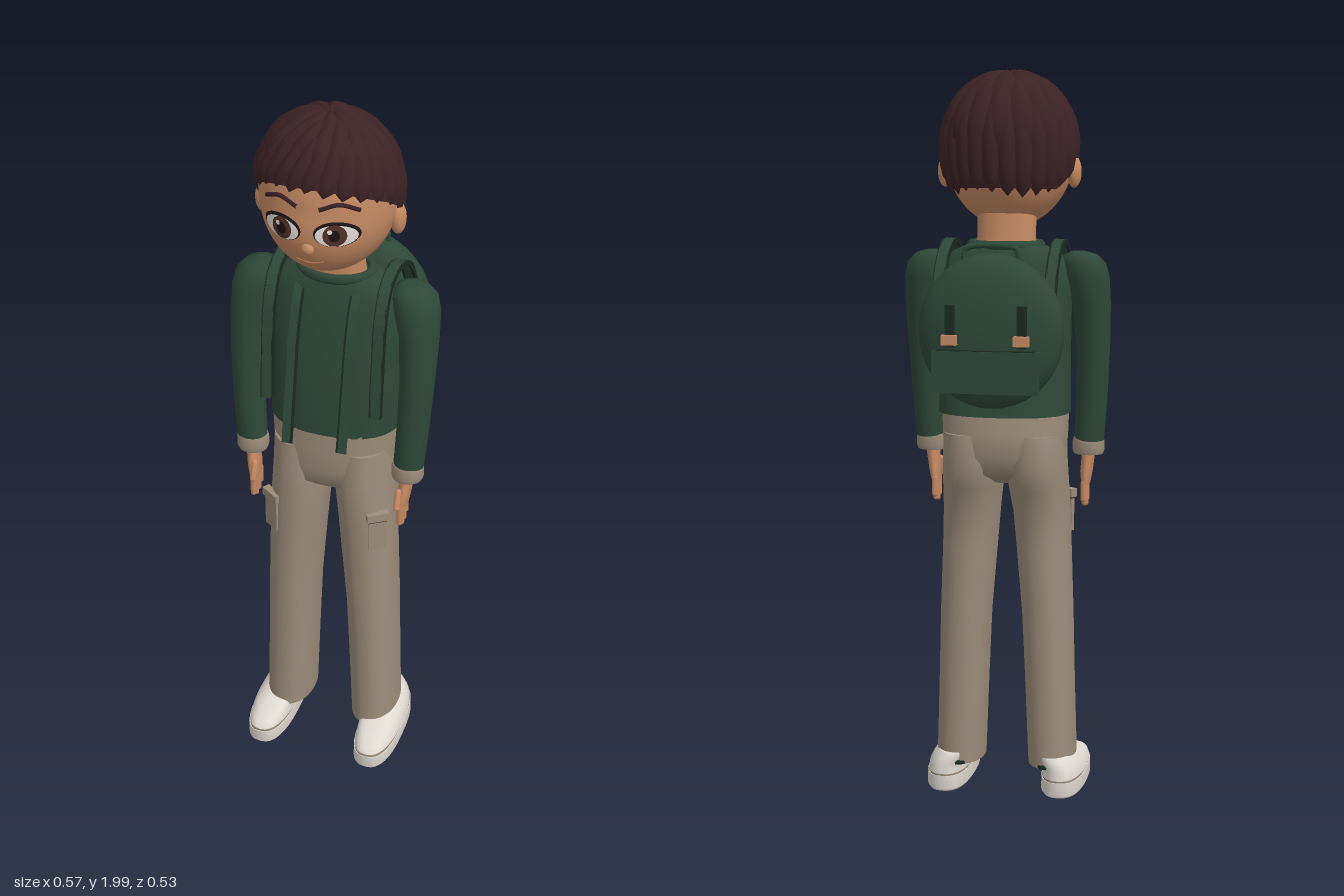
import * as THREE from 'three';

const mat = (name, color, side = THREE.FrontSide) => {
  const m = new THREE.MeshStandardMaterial({ color, side });
  m.name = name;
  return m;
};
const M = {
  skin: mat('skin', 0xc68a63), hair: mat('hair', 0x3b2225, THREE.DoubleSide),
  jacket: mat('jacket green', 0x2f4839), dark: mat('dark green', 0x1c2a22),
  pants: mat('khaki', 0x9b8c7a), shoe: mat('off white', 0xdfd9d2),
  white: mat('eye white', 0xeee8e2), iris: mat('iris brown', 0x54332a),
  black: mat('near black', 0x1d1315), lip: mat('lip', 0xb06f52),
};

function add(parent, name, geo, material, x = 0, y = 0, z = 0) {
  const mesh = new THREE.Mesh(geo, material);
  mesh.name = name;
  mesh.position.set(x, y, z);
  parent.add(mesh);
  return mesh;
}
const box = (w, h, d) => new THREE.BoxGeometry(w, h, d);
const ball = (rx, ry, rz) => new THREE.SphereGeometry(1, 28, 20).scale(rx, ry, rz);

// Capped skin over horizontal rings [y, centreX, centreZ, radiusX, radiusZ], bottom to top
function loft(rings, power = 2, n = 32) {
  const pos = [], idx = [], e = 2 / power;
  const sgnPow = v => Math.sign(v) * Math.abs(v) ** e;
  for (const [y, cx, cz, rx, rz] of rings)
    for (let j = 0; j < n; j++) {
      const a = j / n * Math.PI * 2;
      pos.push(cx + rx * sgnPow(Math.sin(a)), y, cz + rz * sgnPow(Math.cos(a)));
    }
  for (let i = 0; i < rings.length - 1; i++)
    for (let j = 0; j < n; j++) {
      const a = i * n + j, b = i * n + (j + 1) % n;
      idx.push(a, b, b + n, a, b + n, a + n);
    }
  // separate cap rings keep the end edges sharp
  for (const end of [0, rings.length - 1]) {
    const base = pos.length / 3, src = end * n * 3;
    for (let k = 0; k < n * 3; k++) pos.push(pos[src + k]);
    for (let j = 1; j < n - 1; j++)
      end ? idx.push(base, base + j, base + j + 1) : idx.push(base, base + j + 1, base + j);
  }
  const g = new THREE.BufferGeometry();
  g.setAttribute('position', new THREE.Float32BufferAttribute(pos, 3));
  g.setIndex(idx);
  g.computeVertexNormals();
  return g;
}

// Flat band following a [z, y] path, extruded across x
function band(path, width, thick) {
  const curve = new THREE.SplineCurve(path.map(p => new THREE.Vector2(...p)));
  const outer = [], inner = [];
  for (let i = 0; i <= 24; i++) {
    const p = curve.getPoint(i / 24), t = curve.getTangent(i / 24);
    outer.push(p);
    inner.unshift(new THREE.Vector2(p.x + t.y * thick, p.y - t.x * thick));
  }
  return new THREE.ExtrudeGeometry(new THREE.Shape([...outer, ...inner]), { depth: width, bevelEnabled: false })
    .translate(0, 0, -width / 2).rotateY(-Math.PI / 2);
}

// Head surface: ellipsoid with the lower face pushed forward
const H = { y: 1.78, z: 0.09, rx: 0.178, ry: 0.21, rz: 0.16 };
const push = (ny, nz) => 0.045 * Math.max(0, -ny) * Math.max(0, nz);
function faceZ(x, y) {
  const ny = (y - H.y) / H.ry;
  const nz = Math.sqrt(Math.max(0, 1 - (x / H.rx) ** 2 - ny * ny));
  return H.z + H.rz * nz + push(ny, nz);
}
// Thin ellipse laid on the face
function decal(x, y, rx, ry, lift) {
  const g = new THREE.RingGeometry(0.001, 1, 28, 5).scale(rx, ry, 1).translate(x, y, 0);
  const p = g.attributes.position;
  for (let i = 0; i < p.count; i++) p.setZ(i, faceZ(p.getX(i), p.getY(i)) + lift);
  g.computeVertexNormals();
  return g;
}
function faceLine(points, r) {
  const pts = points.map(([x, y]) => new THREE.Vector3(x, y, faceZ(x, y)));
  return new THREE.TubeGeometry(new THREE.CatmullRomCurve3(pts), 16, r, 6);
}

// Hairline height by direction: back, behind the ear, temple, front
const LINE = [[-1, 1.68], [-0.55, 1.675], [-0.2, 1.72], [0.1, 1.765], [0.35, 1.795], [0.85, 1.84], [1, 1.85]];
function hairPoint(a, s, off) {
  const c = Math.cos(a);
  let k = 0;
  while (k < LINE.length - 2 && c > LINE[k + 1][0]) k++;
  const [c0, y0] = LINE[k], [c1, y1] = LINE[k + 1];
  const y = y0 + (y1 - y0) * (c - c0) / (c1 - c0);
  const phi = s * Math.acos((y - 1.79) / 0.203);
  const q = phi > Math.PI / 2 ? Math.abs(Math.sin(phi)) ** 0.4 : Math.sin(phi);
  return [Math.sin(a) * q * (0.184 + off), 1.79 + Math.cos(phi) * (0.198 + off), 0.09 + c * q * (0.163 + off)];
}
function hairPatch(nu, nv, rule) {
  const g = new THREE.PlaneGeometry(2, 1, nu, nv), p = g.attributes.position;
  for (let i = 0; i < p.count; i++) p.setXYZ(i, ...hairPoint(...rule(p.getX(i), 0.5 - p.getY(i))));
  g.computeVertexNormals();
  return g;
}
const lock = (a, s0, s1, width, height, skew) => hairPatch(8, 10, (u, v) => {
  const w = Math.sqrt(Math.max(0, 1 - Math.abs(2 * v - 1) ** 3));
  return [a + u * width * w + skew * (v - 0.5), s0 + (s1 - s0) * v, height * (1 - u * u) * w - 0.003];
});

function buildHead(root) {
  const g = new THREE.Group();
  g.name = 'head';
  root.add(g);
  const skull = new THREE.SphereGeometry(1, 48, 36), p = skull.attributes.position;
  for (let i = 0; i < p.count; i++) {
    const x = p.getX(i), y = p.getY(i), z = p.getZ(i);
    p.setXYZ(i, x * H.rx, H.y + y * H.ry * (y > 0.5 ? 0.95 : 1), H.z + z * H.rz + push(y, z));
  }
  skull.computeVertexNormals();
  add(g, 'face', skull, M.skin);
  add(g, 'neck', loft([[1.49, 0, 0.04, 0.088, 0.062], [1.55, 0, 0.045, 0.08, 0.056], [1.66, 0, 0.055, 0.082, 0.06]]), M.skin);
  add(g, 'nose', ball(0.017, 0.016, 0.012), M.skin, 0, 1.69, faceZ(0, 1.69));
  add(g, 'mouth', faceLine([[-0.036, 1.649], [0, 1.643], [0.036, 1.649]], 0.0035), M.lip);
  for (const s of [-1, 1]) {
    add(g, 'ear', ball(0.02, 0.043, 0.025), M.skin, s * 0.178, 1.722, 0.085);
    add(g, 'eyeOutline', decal(s * 0.07, 1.737, 0.054, 0.034, 0.002), M.black);
    add(g, 'eyeWhite', decal(s * 0.07, 1.734, 0.049, 0.029, 0.004), M.white);
    add(g, 'iris', decal(s * 0.068, 1.736, 0.028, 0.029, 0.006), M.iris);
    add(g, 'pupil', decal(s * 0.068, 1.736, 0.013, 0.016, 0.0075), M.black);
    add(g, 'eyeGlint', decal(s * 0.068 - 0.01, 1.748, 0.006, 0.006, 0.009), M.white);
    add(g, 'eyebrow', faceLine([[s * 0.028, 1.8], [s * 0.075, 1.815], [s * 0.12, 1.797]], 0.006), M.hair);
  }
  // Hair: a cap under overlapping rings of locks
  add(g, 'hairCap', hairPatch(64, 16, (u, v) => [u * Math.PI, v, 0]), M.hair);
  for (const [n, s0, s1, h] of [[26, 0.4, 1.05, 0.013], [17, 0.2, 0.72, 0.014], [9, 0.03, 0.42, 0.012]])
    for (let i = 0; i < n; i++) {
      const a = (i + 0.5) / n * Math.PI * 2, wob = Math.sin(i * 7.3) * 0.03;
      add(g, 'hairLock', lock(a, s0, s1 + wob, Math.PI / n * 1.3, h, -0.35 * Math.max(0, Math.cos(a)) + wob), M.hair);
    }
}

function buildJacket(root) {
  add(root, 'jacketBody', loft([[1.075, 0, 0.022, 0.18, 0.138], [1.2, 0, 0.03, 0.178, 0.128], [1.33, 0, 0.032, 0.18, 0.112],
    [1.42, 0, 0.032, 0.182, 0.098], [1.48, 0, 0.032, 0.175, 0.085], [1.51, 0, 0.033, 0.145, 0.075], [1.53, 0, 0.035, 0.1, 0.066]], 2.4), M.jacket);
  add(root, 'collar', new THREE.TorusGeometry(1, 0.13, 10, 36).rotateX(Math.PI / 2).scale(0.095, 0.11, 0.07), M.jacket, 0, 1.527, 0.038);
  for (const s of [-1, 1]) {
    const zip = [[0.08, 1.525], [0.13, 1.46], [0.165, 1.36], [0.195, 1.22], [0.226, 1.078]];
    add(root, 'frontPlacket', band(zip, 0.022, 0.008), M.jacket, s * 0.078);
    add(root, 'zipEdge', band(zip, 0.005, 0.01), M.dark, s * 0.064);
    // arm, cuff and hand
    add(root, 'sleeve', loft([[0.98, s * 0.222, 0.096, 0.041, 0.038], [1.1, s * 0.23, 0.09, 0.043, 0.044], [1.25, s * 0.235, 0.076, 0.046, 0.051],
      [1.37, s * 0.232, 0.058, 0.052, 0.06], [1.44, s * 0.222, 0.046, 0.06, 0.066], [1.48, s * 0.213, 0.04, 0.06, 0.06],
      [1.503, s * 0.205, 0.038, 0.045, 0.045], [1.512, s * 0.2, 0.038, 0.02, 0.02]]), M.jacket);
    add(root, 'cuff', loft([[0.95, s * 0.221, 0.098, 0.04, 0.037], [0.96, s * 0.221, 0.098, 0.044, 0.041], [0.985, s * 0.221, 0.097, 0.044, 0.041],
      [0.995, s * 0.221, 0.097, 0.041, 0.038]]), M.pants);
    add(root, 'palm', loft([[0.865, s * 0.213, 0.103, 0.012, 0.034], [0.9, s * 0.215, 0.103, 0.017, 0.035],
      [0.935, s * 0.219, 0.1, 0.018, 0.025], [0.965, s * 0.22, 0.098, 0.02, 0.023]], 2, 20), M.skin);
    for (let i = 0; i < 4; i++) {
      const len = [0.045, 0.058, 0.062, 0.052][i];
      add(root, 'finger', new THREE.CapsuleGeometry(0.0085, len, 4, 10), M.skin, s * 0.211, 0.868 - len / 2, 0.077 + i * 0.018);
    }
    add(root, 'thumb', new THREE.CapsuleGeometry(0.009, 0.045, 4, 10), M.skin, s * 0.206, 0.895, 0.138).rotation.x = -0.4;
  }
}

function buildLegs(root) {
  add(root, 'trouserHips', loft([[0.88, 0, 0.05, 0.14, 0.07], [0.91, 0, 0.04, 0.163, 0.115], [0.96, 0, 0.031, 0.168, 0.132],
    [1.02, 0, 0.031, 0.172, 0.132], [1.09, 0, 0.035, 0.174, 0.124]], 2.4), M.pants);
  for (const s of [-1, 1]) {
    add(root, 'trouserLeg', loft([[0.075, s * 0.131, 0.058, 0.067, 0.102], [0.3, s * 0.123, 0.057, 0.068, 0.103], [0.5, s * 0.116, 0.057, 0.07, 0.104],
      [0.7, s * 0.104, 0.058, 0.075, 0.106], [0.8, s * 0.098, 0.056, 0.078, 0.108], [0.87, s * 0.092, 0.042, 0.081, 0.125],
      [0.94, s * 0.089, 0.029, 0.081, 0.135], [1.02, s * 0.089, 0.03, 0.078, 0.125]], 2.2), M.pants);
    const pocket = new THREE.Group();
    pocket.name = 'cargoPocket';
    pocket.position.set(s * 0.152, 0.78, 0.142);
    pocket.rotation.y = s * 0.6;
    add(pocket, 'pocketBag', box(0.052, 0.105, 0.012), M.pants, 0, -0.005, 0);
    add(pocket, 'pocketFlap', box(0.062, 0.024, 0.022), M.pants, 0, 0.05, 0);
    add(pocket, 'pocketShadowSeam', box(0.054, 0.004, 0.016), M.dark, 0, 0.036, 0);
    root.add(pocket);
    // shoe
    add(root, 'shoeSole', loft([[0, s * 0.163, 0.098, 0.056, 0.16], [0.008, s * 0.163, 0.098, 0.062, 0.167],
      [0.045, s * 0.163, 0.098, 0.061, 0.166]], 2.6), M.shoe);
    add(root, 'soleLine', loft([[0.044, s * 0.163, 0.098, 0.059, 0.164], [0.05, s * 0.163, 0.098, 0.059, 0.164]], 2.6), M.pants);
    add(root, 'shoeUpper', loft([[0.049, s * 0.163, 0.097, 0.06, 0.163], [0.065, s * 0.162, 0.092, 0.058, 0.157], [0.08, s * 0.158, 0.075, 0.054, 0.137],
      [0.095, s * 0.15, 0.045, 0.05, 0.105], [0.108, s * 0.142, 0.03, 0.043, 0.082]], 2.4), M.shoe);
    add(root, 'ankleRim', new THREE.TorusGeometry(1, 0.06, 8, 32).rotateX(Math.PI / 2).scale(0.062, 0.12, 0.096), M.dark, s * 0.134, 0.08, 0.052);
    for (let i = 0; i < 5; i++)
      add(root, 'soleTread', box(0.07, 0.004, 0.006), M.pants, s * 0.163, 0.001, -0.01 + i * 0.052);
  }
}

function buildBackpack(root) {
  const g = new THREE.Group();
  g.name = 'backpack';
  root.add(g);
  add(g, 'packBody', loft(Array.from({ length: 19 }, (_, i) => {
    const t = -Math.PI / 2 + i / 18 * Math.PI, c = Math.max(0.001, Math.cos(t));
    return [1.315 + 0.205 * Math.sin(t), 0, -0.172, 0.195 * c, 0.08 * c ** 0.8];
  }), 2.3, 40), M.jacket);
  const grip = [[-0.072, 1.49], [-0.068, 1.53], [0, 1.54], [0.068, 1.53], [0.072, 1.49]].map(([x, y]) => new THREE.Vector3(x, y, -0.17));
  add(g, 'carryHandle', new THREE.TubeGeometry(new THREE.CatmullRomCurve3(grip), 28, 0.008, 8), M.jacket);
  add(g, 'packPocket', box(0.28, 0.11, 0.03), M.jacket, 0, 1.217, -0.254);
  add(g, 'pocketOpening', box(0.26, 0.004, 0.02), M.dark, 0, 1.272, -0.254);
  for (const s of [-1, 1]) {
    add(g, 'buckleStrap', box(0.024, 0.11, 0.014), M.dark, s * 0.095, 1.335, -0.248);
    add(g, 'buckle', box(0.04, 0.026, 0.02), M.skin, s * 0.095, 1.3, -0.258);
    const path = [[-0.15, 1.4], [-0.1, 1.485], [-0.045, 1.528], [0.03, 1.545], [0.1, 1.515], [0.142, 1.43], [0.16, 1.3], [0.172, 1.17]];
    add(g, 'shoulderStrap', band(path, 0.028, 0.012), M.jacket, s * 0.15);
    for (const e of [-1, 1])
      add(g, 'strapPiping', band(path, 0.005, 0.015), M.dark, s * 0.15 + e * 0.014);
  }
}

export function createModel() {
  const root = new THREE.Group();
  root.name = 'student';
  buildHead(root);
  buildJacket(root);
  buildLegs(root);
  buildBackpack(root);
  return root;
}
